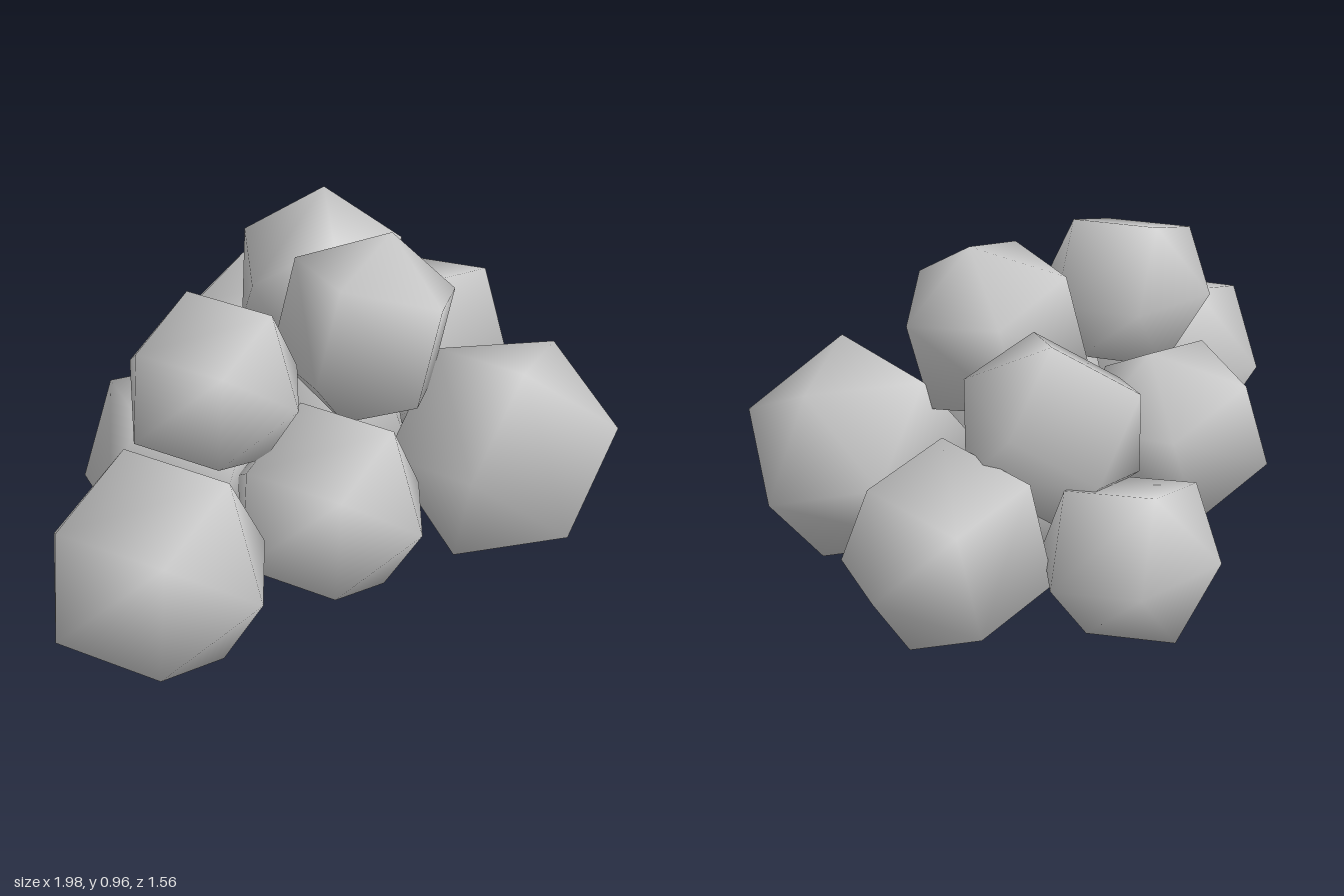
import * as THREE from 'three';

// Each boulder: centre, radius, direction of its pole, direction of one ring corner
const BOULDERS = [
  // lower layer
  ['frontRightBoulder', [-0.695, 0.3, 0.42], 0.328, [0.12, -0.01, 0.29], [0.27, -0.005, -0.11]],
  ['frontMiddleBoulder', [-0.118, 0.292, 0.42], 0.293, [0.11, -0.01, 0.27], [0.27, -0.005, -0.11]],
  ['frontLeftBoulder', [0.47, 0.305, 0.48], 0.34, [0.22, 0.25, -0.05], [0.063, -0.046, 0.297]],
  ['leftBoulder', [0.71, 0.315, -0.2], 0.3, [0.28, -0.045, -0.04], [0, 0.19, -0.205]],
  ['middleRightBoulder', [-0.3, 0.3, -0.04], 0.293, [0.1, 0.28, 0], [-0.57, 0, -0.82]],
  ['middleBoulder', [0.195, 0.315, -0.015], 0.265, [-0.13, 0.05, -0.22], [0.02, 0.24, 0.03]],
  ['backBoulder', [0.35, 0.295, -0.53], 0.264, [-0.1, 0.03, -0.25], [-0.195, 0.15, -0.065]],
  // upper layer
  ['topBackBoulder', [0.375, 0.59, -0.25], 0.275, [0.18, 0.14, 0.15], [0.03, 0.25, -0.09]],
  ['topMiddleBoulder', [0.17, 0.672, 0.225], 0.285, [0.08, 0.27, 0], [0.53, 0, -0.85]],
  ['topRightBoulder', [-0.372, 0.667, 0.235], 0.264, [0.1, -0.01, 0.23], [0.27, -0.005, -0.11]],
];

// Coarse five-sided ball with smooth normals, turned so its pole and a corner point as given
function boulder([name, centre, radius, pole, corner], material) {
  const mesh = new THREE.Mesh(new THREE.SphereGeometry(radius, 5, 3), material);
  const y = new THREE.Vector3(...pole).normalize();
  const x = new THREE.Vector3(...corner);
  x.addScaledVector(y, -x.dot(y)).normalize().negate();
  const z = new THREE.Vector3().crossVectors(x, y);
  mesh.quaternion.setFromRotationMatrix(new THREE.Matrix4().makeBasis(x, y, z));
  mesh.position.set(...centre);
  mesh.name = name;
  return mesh;
}

export function createModel() {
  const group = new THREE.Group();
  group.name = 'boulderPile';
  const material = new THREE.MeshStandardMaterial({ color: 0xcccccc });
  for (const spec of BOULDERS) group.add(boulder(spec, material));
  return group;
}
